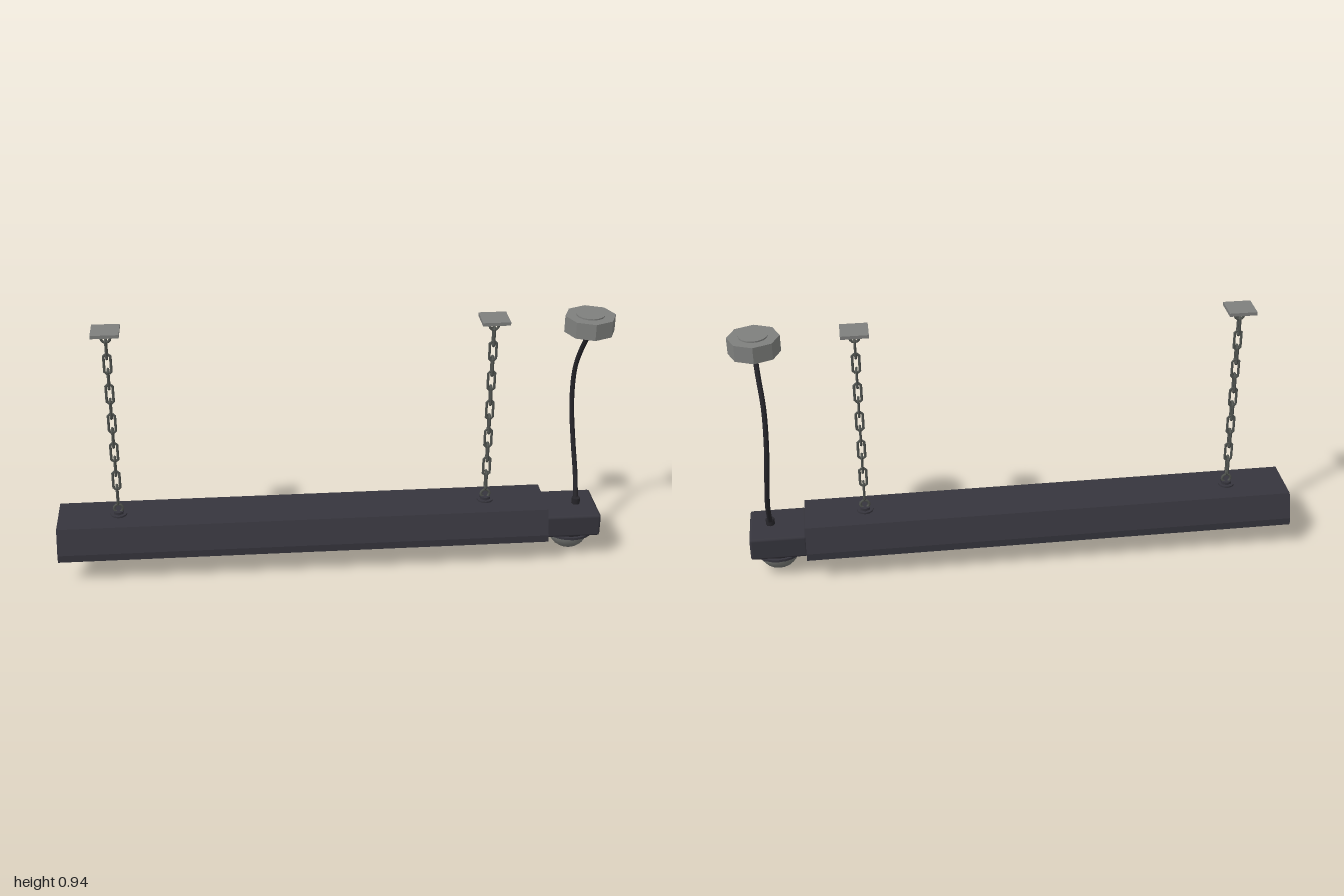
import * as THREE from 'three';
import { RoundedBoxGeometry } from 'three/addons/geometries/RoundedBoxGeometry.js';

const mat = (name, color, side = THREE.FrontSide) => {
  const m = new THREE.MeshStandardMaterial({ color, side });
  m.name = name;
  return m;
};

export function createModel() {
  const model = new THREE.Group();
  model.name = 'hangingBatten';
  const dark = mat('charcoalPaint', 0x36353d);
  const black = mat('blackRubber', 0x26252a);
  const steel = mat('chainSteel', 0x50534f);
  const grey = mat('ceilingGrey', 0x7e7f7d);
  const lens = mat('frostedLens', 0x747673, THREE.DoubleSide);

  const add = (parent, name, geo, material, x = 0, y = 0, z = 0) => {
    const mesh = new THREE.Mesh(geo, material);
    mesh.name = name;
    mesh.position.set(x, y, z);
    parent.add(mesh);
    return mesh;
  };
  const flat = (geo) => {
    const g = geo.toNonIndexed();
    g.computeVertexNormals();
    return g;
  };
  // Cylinder spanning y0 to y1
  const disc = (parent, name, r, y0, y1, material, x, sides = 16) =>
    add(parent, name, new THREE.CylinderGeometry(r, r, y1 - y0, sides), material, x, (y0 + y1) / 2, 0);
  // Profile in the z-y plane swept along x
  const sweepX = (shape, x0, x1) =>
    new THREE.ExtrudeGeometry(shape, { depth: x1 - x0, bevelEnabled: false, curveSegments: 10 })
      .rotateY(Math.PI / 2).translate(x0, 0, 0);

  // Trapezoid housing with an arched channel underneath
  const housing = new THREE.Shape();
  housing.moveTo(-0.13, 0.095);
  housing.lineTo(-0.108, 0.095);
  housing.quadraticCurveTo(-0.09, 0.135, 0, 0.135);
  housing.quadraticCurveTo(0.09, 0.135, 0.108, 0.095);
  housing.lineTo(0.13, 0.095);
  housing.lineTo(0.13, 0.122);
  housing.lineTo(0.095, 0.211);
  housing.lineTo(-0.095, 0.211);
  housing.lineTo(-0.13, 0.122);
  housing.closePath();
  add(model, 'housing', sweepX(housing, -1, 0.79), dark);

  // Bowed diffuser set into the channel
  const bow = new THREE.Shape();
  bow.moveTo(-0.105, 0.102);
  bow.quadraticCurveTo(0, 0.036, 0.105, 0.102);
  bow.closePath();
  add(model, 'diffuser', sweepX(bow, -0.95, 0.75), lens);

  // Chain link: a ring stretched along y
  const link = new THREE.TorusGeometry(0.013, 0.005, 6, 8).rotateZ(Math.PI / 8);
  const p = link.attributes.position;
  for (let i = 0; i < p.count; i++) p.setY(i, p.getY(i) + Math.sign(p.getY(i)) * 0.024);
  const linkGeo = flat(link);
  const eyeGeo = new THREE.TorusGeometry(0.016, 0.005, 6, 12);

  for (const x of [-0.78, 0.57]) {
    const chain = new THREE.Group();
    chain.name = 'chainHanger';
    model.add(chain);
    add(chain, 'ceilingPlate', new THREE.BoxGeometry(0.098, 0.012, 0.098), grey, x, 0.937, 0);
    add(chain, 'upperEye', eyeGeo, steel, x, 0.912, 0);
    for (let i = 0; i < 11; i++) {
      const m = add(chain, 'chainLink', linkGeo, steel, x, 0.295 + i * 0.0577, 0);
      if (i % 2 === 0) m.rotation.y = Math.PI / 2;
    }
    add(chain, 'lowerEye', eyeGeo, steel, x, 0.237, 0);
    disc(chain, 'eyeBase', 0.03, 0.209, 0.217, dark, x, 12);
    disc(chain, 'eyeNut', 0.02, 0.217, 0.227, dark, x, 6);
  }

  // Sensor box with domed lens
  const sensor = new THREE.Group();
  sensor.name = 'sensorUnit';
  model.add(sensor);
  add(sensor, 'sensorBox', new RoundedBoxGeometry(0.205, 0.088, 0.2, 2, 0.01), dark, 0.8875, 0.136, 0);
  disc(sensor, 'sensorNeck', 0.085, 0.082, 0.095, black, 0.893, 24);
  disc(sensor, 'sensorFlange', 0.095, 0.074, 0.083, dark, 0.893, 24);
  add(sensor, 'sensorDome',
    new THREE.SphereGeometry(0.076, 16, 6, 0, Math.PI * 2, Math.PI / 2, Math.PI / 2).scale(1, 0.98, 1),
    lens, 0.893, 0.0745, 0);

  // Octagonal ceiling rose and its power cord
  const rose = new THREE.Group();
  rose.name = 'powerFeed';
  model.add(rose);
  add(rose, 'ceilingRose', flat(new THREE.CylinderGeometry(0.09, 0.09, 0.06, 8)), grey, 0.91, 0.91, 0);
  disc(rose, 'roseCap', 0.05, 0.94, 0.945, grey, 0.91);
  disc(rose, 'upperGland', 0.018, 0.853, 0.882, black, 0.91, 8);
  disc(rose, 'lowerGland', 0.016, 0.178, 0.203, black, 0.915, 8);
  const cord = new THREE.CatmullRomCurve3([
    [0.91, 0.865, 0], [0.904, 0.81, -0.038], [0.893, 0.7, -0.085], [0.896, 0.55, -0.104],
    [0.908, 0.4, -0.085], [0.916, 0.28, -0.044], [0.915, 0.19, -0.003],
  ].map((v) => new THREE.Vector3(...v)));
  add(rose, 'powerCord', new THREE.TubeGeometry(cord, 32, 0.009, 8), black);

  return model;
}
